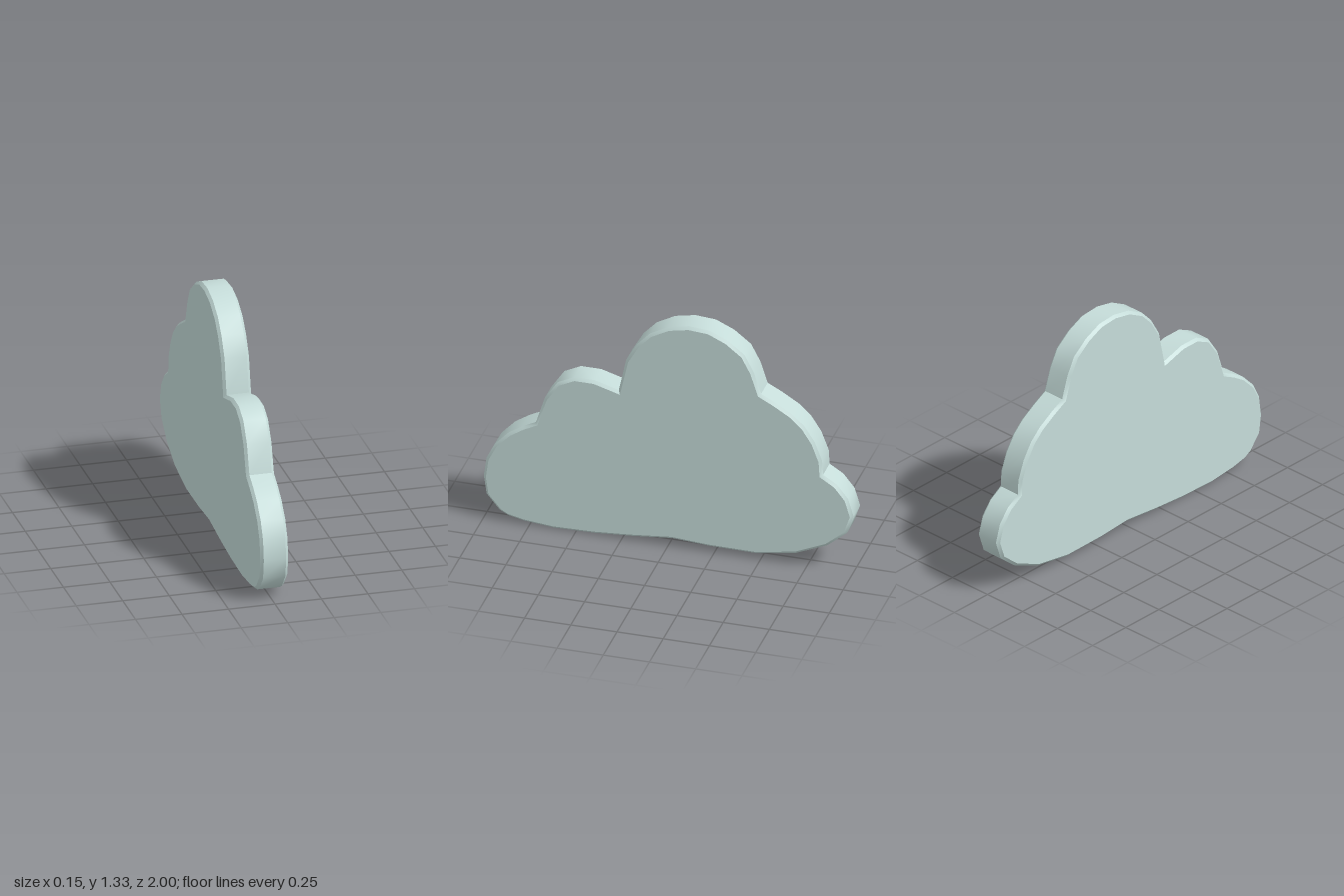
import * as THREE from 'three';
import { toCreasedNormals } from 'three/addons/utils/BufferGeometryUtils.js';

// Cloud outline as [z, y] pairs, one run per lobe
const outline = [
  // front lobe
  [1, 0.25], [0.985, 0.36], [0.94, 0.45], [0.865, 0.53], [0.79, 0.58], [0.718, 0.617],
  // small upper lobe
  [0.67, 0.77], [0.6, 0.875], [0.51, 0.92], [0.4, 0.92], [0.27, 0.882],
  // crown
  [0.23, 1.07], [0.17, 1.175], [0.1, 1.25], [0, 1.305], [-0.11, 1.328], [-0.22, 1.32],
  [-0.32, 1.275], [-0.41, 1.205], [-0.46, 1.11], [-0.5, 0.987],
  // back shoulder
  [-0.58, 0.945], [-0.67, 0.89], [-0.735, 0.83], [-0.79, 0.745], [-0.83, 0.64], [-0.835, 0.557],
  // back lobe
  [-0.91, 0.51], [-0.97, 0.435], [-1, 0.335], [-0.965, 0.23], [-0.86, 0.14],
  // underside
  [-0.69, 0.065], [-0.47, 0.028], [-0.22, 0.03], [-0.02, 0.043], [0.2, 0.02], [0.4, 0.005],
  [0.62, 0], [0.78, 0.015], [0.87, 0.035], [0.915, 0.06], [0.985, 0.145],
];

const thickness = 0.15;
const bevel = 0.015;

export function createModel() {
  const paleTeal = new THREE.MeshStandardMaterial({ name: 'paleTeal', color: 0xc5dcd9 });

  // Thick slab with a narrow chamfer around both faces
  const shape = new THREE.Shape(outline.map(([z, y]) => new THREE.Vector2(-z, y)));
  const depth = thickness - 2 * bevel;
  const slab = new THREE.ExtrudeGeometry(shape, {
    depth,
    bevelEnabled: true,
    bevelSegments: 1,
    bevelThickness: bevel,
    bevelSize: bevel,
    bevelOffset: -bevel,
  });
  slab.translate(0, 0, -depth / 2);
  slab.rotateY(Math.PI / 2);

  // Smooth along each lobe, sharp at the notches and chamfer
  const cloud = new THREE.Mesh(toCreasedNormals(slab, 0.7), paleTeal);
  cloud.name = 'cloud';

  const model = new THREE.Group();
  model.name = 'cloudPlaque';
  model.add(cloud);
  return model;
}
